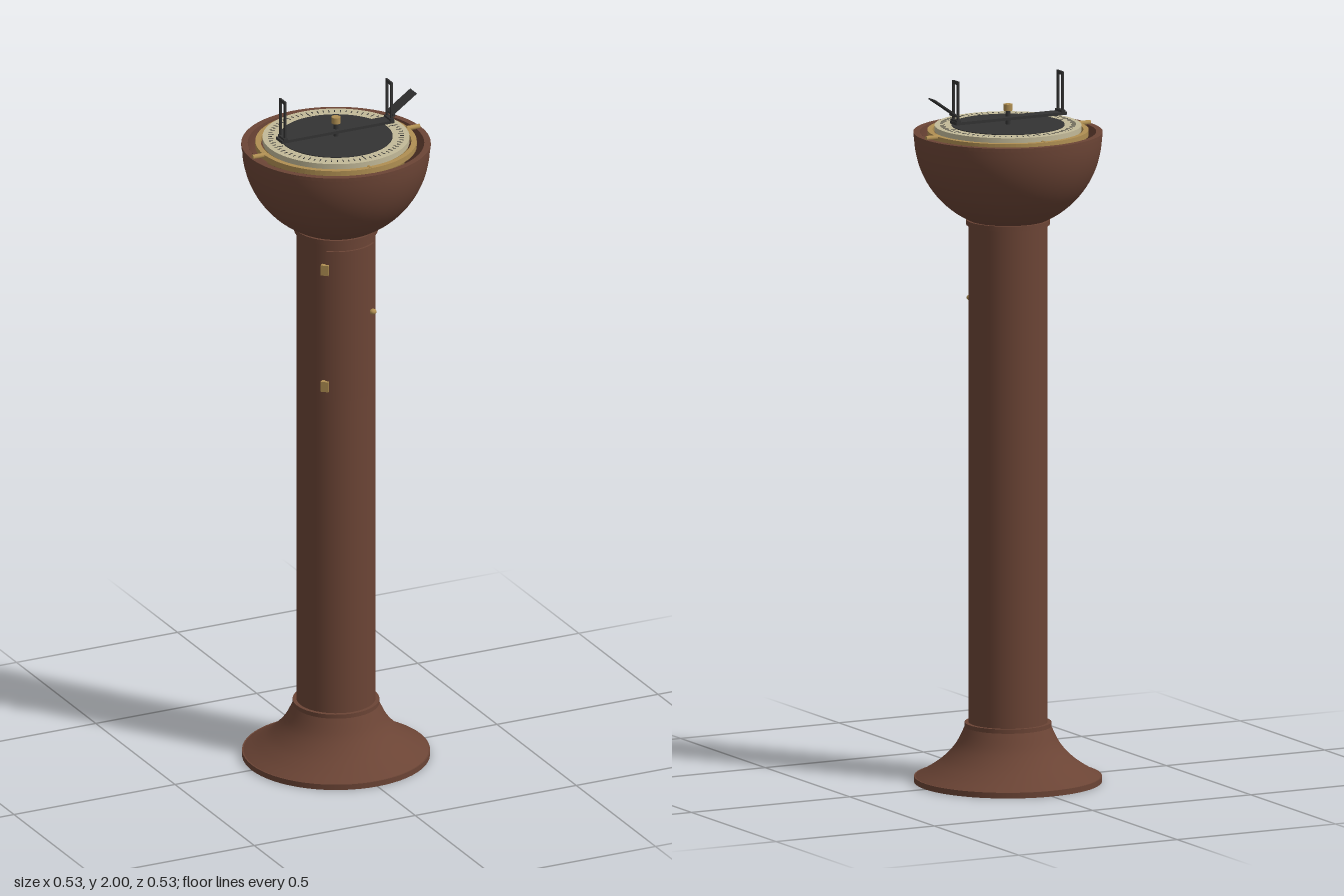
import * as THREE from 'three';

export function createModel() {
  const root = new THREE.Group();
  const mat = (name, color, side = THREE.FrontSide) => {
    const m = new THREE.MeshStandardMaterial({ color, side });
    m.name = name;
    return m;
  };
  const wood = mat('brown wood', 0x6b4435, THREE.DoubleSide);
  const brass = mat('brass', 0xb08f52);
  const cream = mat('cream card', 0xc2b998);
  const dark = mat('dark metal', 0x333333);

  const add = (name, geo, material, x = 0, y = 0, z = 0, parent = root) => {
    const m = new THREE.Mesh(geo, material);
    m.name = name;
    m.position.set(x, y, z);
    parent.add(m);
    return m;
  };
  const box = (w, h, d) => new THREE.BoxGeometry(w, h, d);
  const cyl = (r, h, n = 48) => new THREE.CylinderGeometry(r, r, h, n);
  const lathe = (pts) => new THREE.LatheGeometry(pts.map(([r, y]) => new THREE.Vector2(r, y)), 64);
  // flat-sided ring with a rectangular section
  const ring = (inner, outer, y0, y1) => {
    const s = new THREE.Shape().absarc(0, 0, outer, 0, Math.PI * 2);
    s.holes.push(new THREE.Path().absarc(0, 0, inner, 0, Math.PI * 2, true));
    return new THREE.ExtrudeGeometry(s, { depth: y1 - y0, bevelEnabled: false, curveSegments: 48 })
      .rotateX(-Math.PI / 2).translate(0, y0, 0);
  };

  // Pedestal
  add('basePlate', cyl(0.262, 0.016, 64), wood, 0, 0.008);
  const flare = new THREE.SplineCurve([[0.258, 0.016], [0.22, 0.038], [0.18, 0.068], [0.145, 0.108], [0.12, 0.158]]
    .map(([r, y]) => new THREE.Vector2(r, y)));
  add('baseFlare', new THREE.LatheGeometry(flare.getPoints(20), 64), wood);
  add('baseCollar', cyl(0.121, 0.012, 64), wood, 0, 0.163);
  add('column', cyl(0.11, 1.43, 64), wood, 0, 0.875);
  add('topCollar', cyl(0.117, 0.014, 64), wood, 0, 1.587);

  // Hollow bowl: outer hemisphere, flat rim, inner hemisphere
  const outer = [], inner = [];
  for (let i = 0; i <= 20; i++) {
    const a = THREE.MathUtils.lerp(0.42, Math.PI / 2, i / 20);
    outer.push([0.262 * Math.sin(a), 1.832 - 0.262 * Math.cos(a)]);
    const b = Math.PI / 2 * (1 - i / 20);
    inner.push([0.246 * Math.sin(b), 1.842 - 0.235 * Math.cos(b)]);
  }
  add('bowlOutside', lathe(outer), wood);
  add('bowlRim', ring(0.246, 0.264, 1.832, 1.842), wood);
  add('bowlInside', lathe(inner), wood);

  // Curved door on the front of the column
  const door = new THREE.Group();
  door.name = 'door';
  root.add(door);
  const half = 0.71, s = new THREE.Shape();
  s.absarc(0, 0, 0.116, -Math.PI / 2 - half, -Math.PI / 2 + half);
  s.absarc(0, 0, 0.108, -Math.PI / 2 + half, -Math.PI / 2 - half, true);
  const panel = new THREE.ExtrudeGeometry(s, { depth: 0.45, bevelEnabled: false, curveSegments: 20 });
  add('doorPanel', panel.rotateX(-Math.PI / 2), wood, 0, 1.11, 0, door);
  for (const y of [1.155, 1.505]) {
    const hinge = add('doorHinge', box(0.022, 0.03, 0.014), brass, -0.077, y, 0.088, door);
    hinge.rotation.y = -0.72;
  }
  const knob = add('doorKnob', new THREE.SphereGeometry(0.01, 16, 12), brass, 0.064, 1.36, 0.104, door);
  knob.scale.y = 0.8;

  // Gimbal and compass
  add('gimbalRing', ring(0.21, 0.225, 1.832, 1.848), brass);
  for (const k of [-1, 1]) {
    add('outerPivot', cyl(0.007, 0.04, 16), brass, k * 0.239, 1.845).rotation.z = Math.PI / 2;
    add('innerPivot', cyl(0.005, 0.022, 16), brass, 0, 1.845, k * 0.21).rotation.x = Math.PI / 2;
  }
  add('compassBowl', lathe([[0, 1.68], [0.08, 1.69], [0.15, 1.73], [0.19, 1.78], [0.204, 1.845]]), brass);
  add('compassCard', cyl(0.205, 0.016, 64), cream, 0, 1.853);
  add('cardCentre', cyl(0.158, 0.002, 64), dark, 0, 1.862);
  const ticks = new THREE.Group();
  ticks.name = 'degreeMarks';
  root.add(ticks);
  for (let i = 0; i < 72; i++) {
    const a = i * Math.PI / 36;
    const len = i % 18 === 0 ? 0.026 : i % 2 ? 0.011 : 0.015;
    const t = add('degreeMark', box(len, 0.001, 0.0022), dark,
      0.19 * Math.cos(a) - len / 2 * Math.cos(a), 1.862, 0.19 * Math.sin(a) - len / 2 * Math.sin(a), ticks);
    t.rotation.y = -a;
  }

  // Sighting bar with two vanes, tilted mirror and centre knob
  const sight = new THREE.Group();
  sight.name = 'sightingBar';
  root.add(sight);
  add('bar', box(0.35, 0.008, 0.038), dark, -0.002, 1.881, 0, sight);
  add('spindle', cyl(0.007, 0.042, 16), dark, 0, 1.882, 0, sight);
  add('spindleKnob', cyl(0.013, 0.018, 12), brass, 0, 1.911, 0, sight);
  const vane = (x, width) => {
    for (const k of [-1, 1]) add('vaneUpright', box(0.005, 0.115, 0.008), dark, x, 1.9425, k * (width / 2 - 0.004), sight);
    add('vaneTop', box(0.005, 0.01, width), dark, x, 1.995, 0, sight);
    add('vaneFoot', box(0.012, 0.01, width + 0.004), dark, x, 1.886, 0, sight);
  };
  vane(-0.165, 0.036);
  vane(0.165, 0.036);
  add('mirrorHinge', cyl(0.004, 0.048, 12), dark, 0.169, 1.902, 0, sight).rotation.x = Math.PI / 2;
  add('mirror', box(0.09, 0.004, 0.037), dark, 0.204, 1.928, 0, sight).rotation.z = 0.61;

  return root;
}
